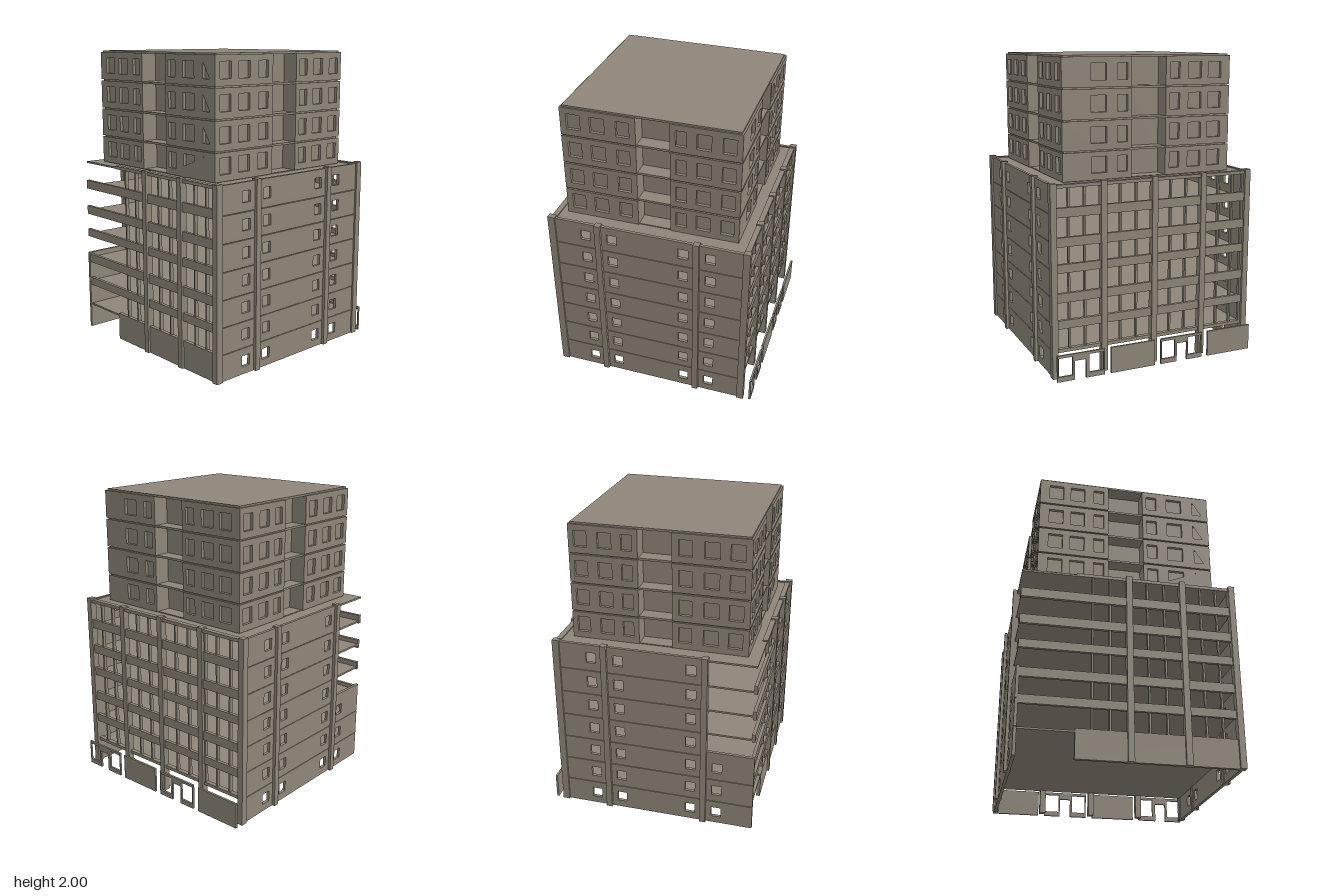
import * as THREE from 'three';

const concrete = new THREE.MeshStandardMaterial({ color: 0x8f8679 });
concrete.name = 'concrete';

const STOREY = 0.175; // lower block storey height
const FLOORS = 7;

// Box given by its min and max on each axis
function box(parent, name, x0, x1, y0, y1, z0, z1) {
  const m = new THREE.Mesh(new THREE.BoxGeometry(x1 - x0, y1 - y0, z1 - z0), concrete);
  m.position.set((x0 + x1) / 2, (y0 + y1) / 2, (z0 + z1) / 2);
  m.name = name;
  parent.add(m);
  return m;
}

// Upright panel in the local xy plane; holes are [x0, x1, y0, y1], door is [x0, x1, top]
function panel(parent, name, x0, x1, y0, y1, thick, holes, door) {
  const s = new THREE.Shape();
  s.moveTo(x0, y0);
  if (door) s.lineTo(door[0], y0).lineTo(door[0], door[2]).lineTo(door[1], door[2]).lineTo(door[1], y0);
  s.lineTo(x1, y0).lineTo(x1, y1).lineTo(x0, y1).closePath();
  for (const [a, b, c, d] of holes) {
    const p = new THREE.Path();
    p.moveTo(a, c).lineTo(a, d).lineTo(b, d).lineTo(b, c).closePath();
    s.holes.push(p);
  }
  const m = new THREE.Mesh(new THREE.ExtrudeGeometry(s, { depth: thick, bevelEnabled: false }), concrete);
  m.name = name;
  parent.add(m);
  return m;
}

function lowerBlock() {
  const g = new THREE.Group();
  g.name = 'lowerBlock';

  // Floor slabs and roof slab
  for (let i = 1; i <= FLOORS; i++) {
    const y = i * STOREY;
    box(g, i === FLOORS ? 'roofSlab' : 'floorSlab', -0.685, 0.625, y - 0.012, y, -0.688, 0.688);
  }

  // Front and back walls, one panel per storey with open windows
  const windows = [-0.45, -0.27, 0.21, 0.39];
  for (let i = 0; i < FLOORS; i++) {
    const y0 = i * STOREY, y1 = y0 + STOREY - 0.004;
    const holes = windows.map(x => [x - 0.033, x + 0.033, y0 + 0.05 + i * 0.001, y0 + 0.122 + i * 0.001]);
    panel(g, 'frontWall', -0.69, 0.63, y0, y1, 0.02, holes).position.z = 0.675;
    // The upper back corner bay is left open
    const open = i >= 3;
    panel(g, 'backWall', open ? -0.37 : -0.695, 0.63, y0, y1, 0.02, open ? holes.slice(1) : holes).position.z = -0.695;
  }
  box(g, 'cornerWallTop', -0.695, -0.37, 3 * STOREY - 0.004, 0.56, -0.695, -0.675);

  // Low roof rims
  for (const s of [1, -1]) {
    box(g, 'roofRim', s > 0 ? -0.69 : -0.37, 0.63, 1.22, 1.233, s * 0.685 - 0.01, s * 0.685 + 0.01);
  }

  // Front and back pilasters
  for (const x of [-0.36, 0.30]) {
    for (const z of [-0.693, 0.693]) {
      box(g, 'pilaster', x - 0.02, x + 0.02, 0, 1.243, z - 0.022, z + 0.022);
    }
  }

  // Side columns; two are absent at the open corner
  for (const z of [-0.687, -0.353, 0, 0.353, 0.687]) {
    box(g, 'rightColumn', 0.6, 0.646, 0, 1.243, z - 0.02, z + 0.02);
    if (z > -0.1) box(g, 'leftColumn', -0.705, -0.657, 0, 1.243, z - 0.02, z + 0.02);
  }

  // Spandrel bands and mullions on both long sides
  const bands = [[0.32, 0.375], [0.49, 0.55], [0.68, 0.735], [0.845, 0.905], [1.03, 1.09]];
  for (const [a, b] of bands) {
    box(g, 'rightSpandrel', 0.612, 0.635, a, b, -0.68, 0.68);
    box(g, 'leftSpandrel', -0.692, -0.67, a, b, -0.69, 0.68);
  }
  for (const z of [-0.66, -0.583, -0.477, -0.376, -0.233, -0.122, 0.122, 0.233, 0.477, 0.583]) {
    box(g, 'rightMullion', 0.603, 0.626, STOREY, 1.215, z - 0.006, z + 0.006);
    if (z > -0.34) box(g, 'leftMullion', -0.684, -0.66, STOREY, 1.215, z - 0.006, z + 0.006);
  }
  box(g, 'rightRoofBeam', 0.6, 0.635, 1.212, 1.233, -0.68, 0.68);
  box(g, 'leftRoofBeam', -0.69, -0.655, 1.212, 1.233, -0.34, 0.68);
  box(g, 'rightSill', 0.6, 0.63, 0.165, 0.187, -0.68, 0.68);

  // Solid ground floor wall on the other long side
  box(g, 'leftGroundWall', -0.69, -0.665, 0, 0.187, -0.335, 0.68);
  return g;
}

// Free-standing ground floor panels in front of the +x side
function shopFronts() {
  const g = new THREE.Group();
  g.name = 'shopFronts';
  g.rotation.y = Math.PI / 2; // local x runs along -z
  g.position.x = 0.683;
  const bays = [[-0.695, -0.375, true], [-0.33, -0.02, false], [0.025, 0.33, true], [0.375, 0.7, false]];
  bays.forEach(([a, b, open]) => {
    const holes = open ? [[a + 0.007, a + 0.102, 0.032, 0.155], [b - 0.105, b - 0.007, 0.032, 0.155]] : [];
    panel(g, open ? 'shopFront' : 'solidFront', a, b, 0, 0.172, 0.014, holes, open && [a + 0.117, a + 0.192, 0.125]);
  });
  return g;
}

function tower() {
  const g = new THREE.Group();
  g.name = 'tower';
  g.position.x = -0.035;
  const hx = 0.575, hz = 0.5875, t = 0.02, deep = 0.11;
  const levels = [1.225, 1.412, 1.605, 1.8, 1.994];
  const recessX = [-0.085, 0.13], recessZ = [-0.12, 0.12];
  // Window centres and widths along x and along z
  const winX = [[-0.489, 0.09], [-0.333, 0.095], [-0.169, 0.085], [0.2, 0.07], [0.342, 0.09], [0.498, 0.085]];
  const winZ = [[0.527, 0.1], [0.344, 0.105], [0.183, 0.07], [-0.185, 0.07], [-0.33, 0.095], [-0.475, 0.095]];
  const flip = r => [-r[1], -r[0]];
  const mirror = w => w.map(([c, d]) => [-c, d]);
  const faces = [
    ['front', 0, hx, hz, winX, recessX],
    ['back', Math.PI, hx, hz, mirror(winX), flip(recessX)],
    ['right', Math.PI / 2, hz - t, hx, mirror(winZ), flip(recessZ)],
    ['left', -Math.PI / 2, hz - t, hx, winZ, recessZ],
  ];

  // Core with a central recess in each side
  const ix = hx - t, iz = hz - t, rx = hx - deep, rz = hz - deep;
  const [xa, xb] = recessX, [za, zb] = recessZ;
  const plan = new THREE.Shape([
    [-ix, -iz], [xa, -iz], [xa, -rz], [xb, -rz], [xb, -iz], [ix, -iz],
    [ix, za], [rx, za], [rx, zb], [ix, zb], [ix, iz],
    [xb, iz], [xb, rz], [xa, rz], [xa, iz], [-ix, iz],
    [-ix, zb], [-rx, zb], [-rx, za], [-ix, za],
  ].map(p => new THREE.Vector2(...p)));
  const coreGeo = new THREE.ExtrudeGeometry(plan, { depth: 0.765, bevelEnabled: false });
  coreGeo.rotateX(-Math.PI / 2);
  const core = new THREE.Mesh(coreGeo, concrete);
  core.name = 'towerCore';
  core.position.y = 1.222;
  g.add(core);

  // Slabs between storeys and on top
  levels.forEach((y, i) => {
    box(g, i === 4 ? 'towerRoof' : 'towerSlab', -hx + 0.012, hx - 0.012, y - 0.008, y + 0.006, -hz + 0.012, hz - 0.012);
  });

  // Wall panels either side of each recess, with sunken windows
  for (const [side, angle, half, dist, wins, rec] of faces) {
    const f = new THREE.Group();
    f.name = side + 'TowerWalls';
    f.rotation.y = angle;
    for (let i = 0; i < 4; i++) {
      const y0 = levels[i] + 0.004, y1 = levels[i + 1] - 0.005;
      for (const [a, b] of [[-half, rec[0]], [rec[1], half]]) {
        const holes = wins.filter(w => w[0] > a && w[0] < b)
          .map(([c, w]) => [c - w / 2, c + w / 2, y0 + 0.043, y0 + 0.146]);
        panel(f, 'towerWall', a, b, y0, y1, t, holes).position.z = dist - t;
      }
    }
    g.add(f);
  }
  return g;
}

export function createModel() {
  const model = new THREE.Group();
  model.name = 'building';
  model.add(lowerBlock(), shopFronts(), tower());
  return model;
}
